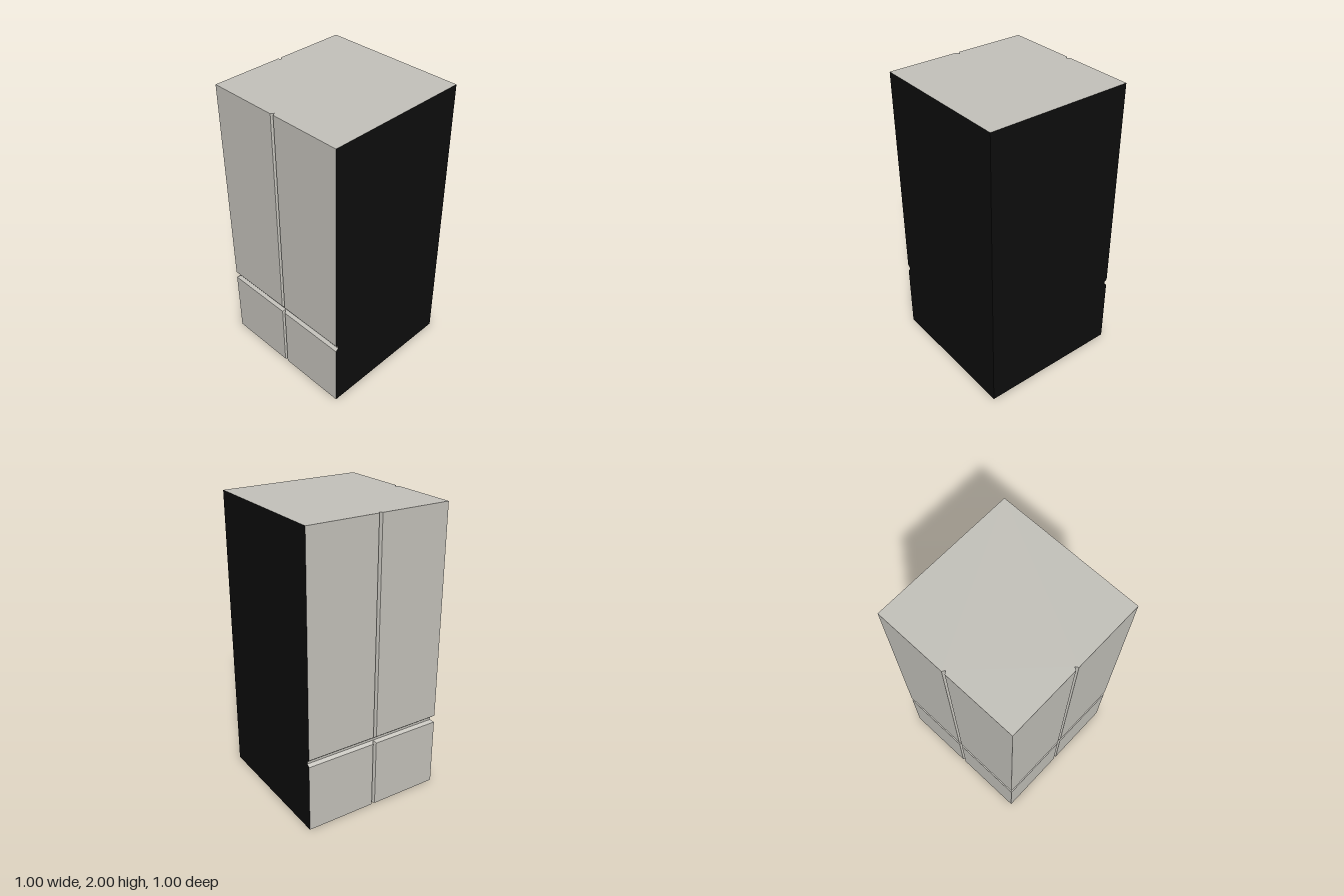
import * as THREE from 'three';

const HALF = 0.5, HEIGHT = 2;
const DEPTH = 0.02;     // depth of every groove
const VEE = 0.012;      // half width of the upright V grooves
// wall profile, bottom to top: [height, inset]
const ROWS = [[0, 0], [0.475, 0], [0.492, DEPTH], [0.508, DEPTH], [0.525, 0], [HEIGHT, 0]];

// plan outline [x, z] of the two grooved walls at a given inset
function planPath(inset) {
  const face = HALF - inset;
  const w = VEE * (1 - inset / DEPTH);
  const bottom = HALF - DEPTH;
  return [
    [HALF, face], [w, face], [0, bottom], [-w, face],
    [-face, face],
    [-face, w], [-bottom, 0], [-face, -w], [-face, -HALF],
  ];
}

// loft the plan outline through the profile rows, flat shaded
function groovedWalls() {
  const rings = ROWS.map(([y, inset]) => planPath(inset).map(([x, z]) => [x, y, z]));
  const pos = [];
  for (let r = 0; r < rings.length - 1; r++) {
    for (let i = 0; i < rings[r].length - 1; i++) {
      const a = rings[r][i], b = rings[r][i + 1];
      const c = rings[r + 1][i], d = rings[r + 1][i + 1];
      pos.push(...a, ...c, ...b, ...b, ...c, ...d);
    }
  }
  const geo = new THREE.BufferGeometry();
  geo.setAttribute('position', new THREE.Float32BufferAttribute(pos, 3));
  geo.computeVertexNormals();
  return geo;
}

// plain wall whose edge on one side follows the profile rows
function plainWall(edgeSide) {
  const pts = ROWS.map(([y, inset]) => new THREE.Vector2(edgeSide * (HALF - inset), y));
  pts.push(new THREE.Vector2(-edgeSide * HALF, HEIGHT), new THREE.Vector2(-edgeSide * HALF, 0));
  return new THREE.ShapeGeometry(new THREE.Shape(pts)).translate(0, 0, HALF);
}

// roof sheet notched by the V grooves
function roofSheet() {
  const pts = planPath(0).map(([x, z]) => new THREE.Vector2(x, -z));
  pts.push(new THREE.Vector2(HALF, HALF));
  return new THREE.ShapeGeometry(new THREE.Shape(pts)).rotateX(-Math.PI / 2).translate(0, HEIGHT, 0);
}

export function createModel() {
  const group = new THREE.Group();
  group.name = 'groovedBlock';

  const stone = new THREE.MeshStandardMaterial({ color: 0xc3c1ba, side: THREE.DoubleSide });
  stone.name = 'stone';
  const black = new THREE.MeshStandardMaterial({ color: 0x0d0d0d, side: THREE.DoubleSide });
  black.name = 'black';

  const add = (name, geo, mat) => {
    const mesh = new THREE.Mesh(geo, mat);
    mesh.name = name;
    group.add(mesh);
  };

  // the underside stays open
  add('groovedWalls', groovedWalls(), stone);
  add('roof', roofSheet(), stone);
  add('sideWall', plainWall(-1).rotateY(Math.PI / 2), black);
  add('backWall', plainWall(1).rotateY(Math.PI), black);

  return group;
}
